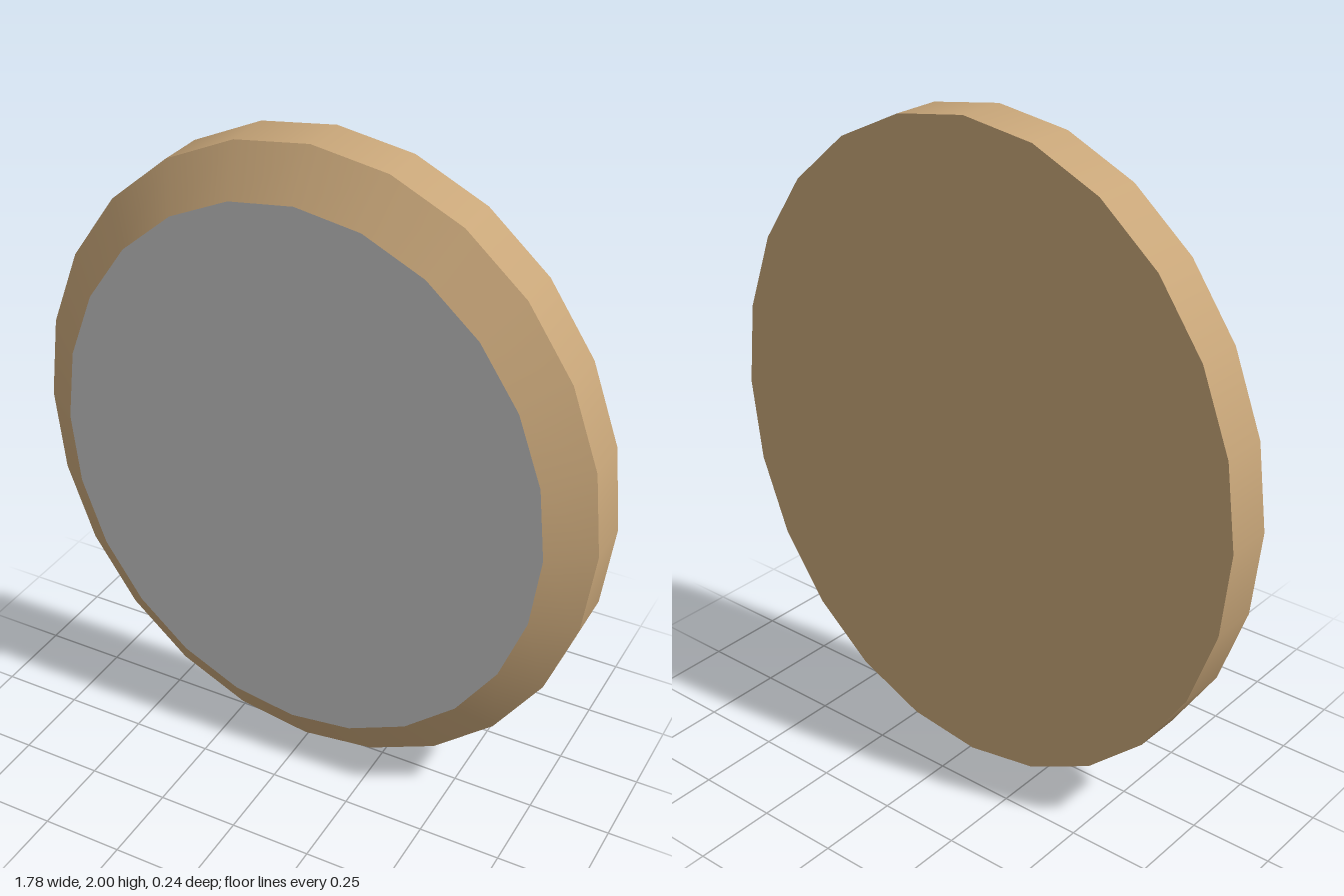
import * as THREE from 'three';

const SIDES = 24;
const TWIST = THREE.MathUtils.degToRad(-0.6);
const RX = 0.89, RY = 1; // half width and half height of the oval
const INNER = 0.86;      // glass size relative to the frame
const BACK = -0.12, RIM = 0.03, FRONT = 0.12;

export function createModel() {
  const wood = new THREE.MeshStandardMaterial({ color: 0xc8a679 });
  const glass = new THREE.MeshStandardMaterial({ color: 0xcccccc });
  const group = new THREE.Group();
  group.name = 'ovalMirror';

  // Turns a round piece into the slightly twisted oval, centred at height RY
  const addOval = (name, geometry, material, z) => {
    geometry.rotateZ(TWIST).scale(RX, RY, 1).translate(0, RY, z);
    const mesh = new THREE.Mesh(geometry, material);
    mesh.name = name;
    group.add(mesh);
  };
  // Open band along z, smooth around its circumference
  const band = (rFront, rBack, depth) =>
    new THREE.CylinderGeometry(rFront, rBack, depth, SIDES, 1, true).rotateX(Math.PI / 2);

  // Straight outer edge, sloping front bevel and flat back
  addOval('frameEdge', band(1, 1, RIM - BACK), wood, (RIM + BACK) / 2);
  addOval('frameBevel', band(INNER, 1, FRONT - RIM), wood, (FRONT + RIM) / 2);
  addOval('backPanel', new THREE.CircleGeometry(1, SIDES).rotateY(Math.PI), wood, BACK);

  // Flat mirror surface flush with the bevel
  addOval('mirrorGlass', new THREE.CircleGeometry(INNER, SIDES), glass, FRONT);

  return group;
}
